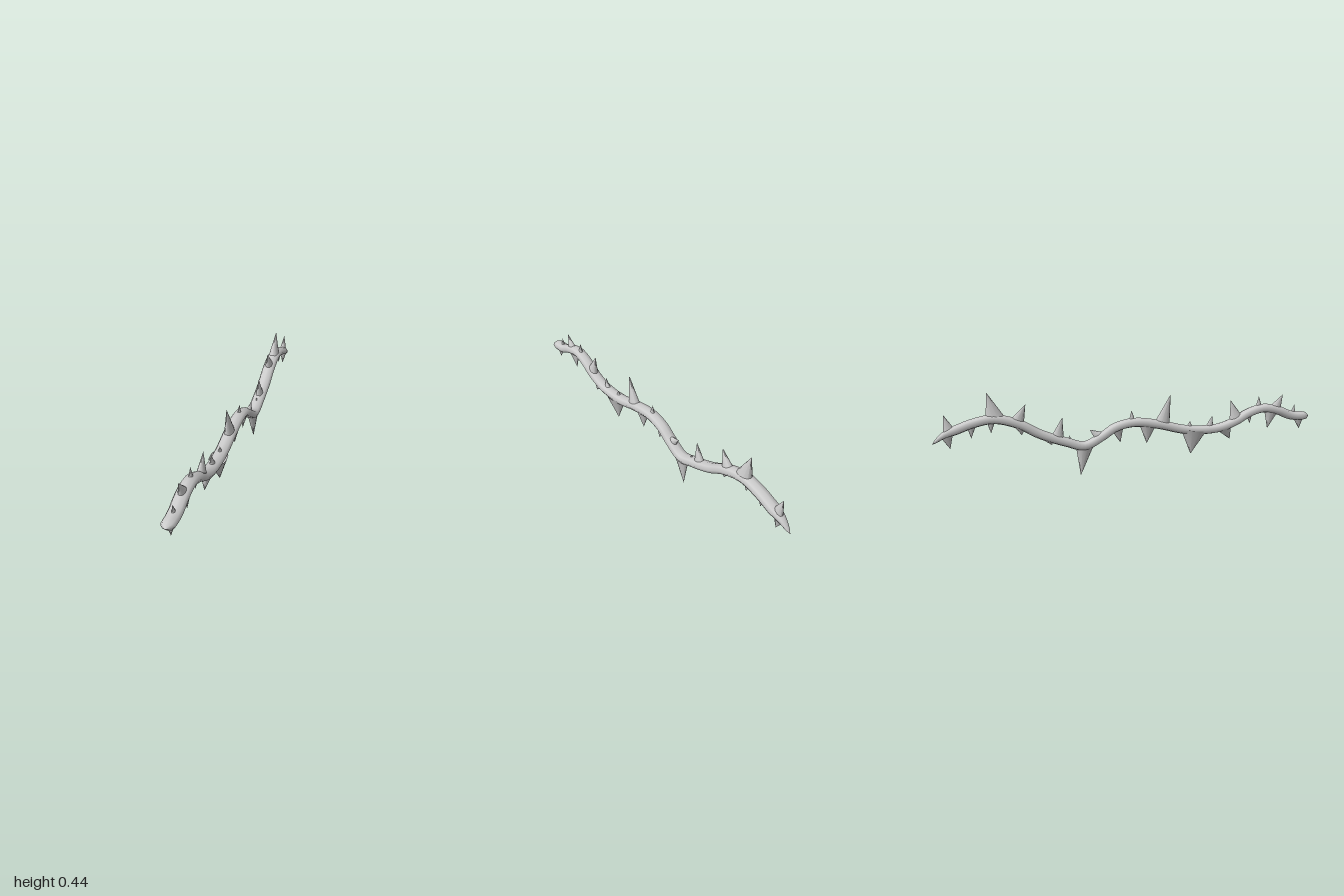
import * as THREE from 'three';

// Centreline of the stem as [z, y], from the blunt front end to the pointed back end
const PATH = [
  [0.995, 0.26], [0.89, 0.266], [0.81, 0.297], [0.72, 0.311], [0.635, 0.286], [0.57, 0.249],
  [0.48, 0.217], [0.38, 0.209], [0.276, 0.217], [0.142, 0.249], [0.008, 0.265], [-0.09, 0.243],
  [-0.153, 0.203], [-0.25, 0.156], [-0.34, 0.179], [-0.475, 0.227], [-0.58, 0.283], [-0.7, 0.313],
  [-0.8, 0.297], [-0.877, 0.27], [-0.94, 0.245], [-1, 0.2],
];

// Thorns as [base z, tip z, tip y, base radius]
const UPPER = [
  [0.9, 0.909, 0.323, 0.02], [0.795, 0.839, 0.382, 0.035], [0.7, 0.7, 0.377, 0.022],
  [0.575, 0.539, 0.361, 0.042], [0.42, 0.437, 0.281, 0.027], [0.31, 0.314, 0.259, 0.024],
  [0.16, 0.206, 0.404, 0.043], [0, -0.003, 0.329, 0.02], [-0.165, -0.222, 0.238, 0.034],
  [-0.33, -0.325, 0.213, 0.016], [-0.39, -0.362, 0.307, 0.036], [-0.59, -0.544, 0.382, 0.038],
  [-0.695, -0.732, 0.446, 0.048], [-0.915, -0.941, 0.345, 0.032],
];
const LOWER = [
  [0.935, 0.941, 0.19, 0.034], [0.775, 0.753, 0.2, 0.045], [0.645, 0.651, 0.233, 0.022],
  [0.505, 0.539, 0.152, 0.045], [0.335, 0.319, 0.083, 0.072], [0.085, 0.078, 0.152, 0.05],
  [-0.08, -0.062, 0.163, 0.036], [-0.25, -0.271, 0.001, 0.046], [-0.43, -0.416, 0.168, 0.034],
  [-0.57, -0.566, 0.227, 0.036], [-0.715, -0.716, 0.243, 0.024], [-0.81, -0.812, 0.222, 0.026],
  [-0.93, -0.914, 0.174, 0.034],
];

const HALF_WIDTH = 0.035, HALF_HEIGHT = 0.024, SIDES = 8, RINGS = 110;

// Sweep an eight-sided oval along the curve, rounding the front and tapering the back
function stemGeometry(curve) {
  const positions = [], indices = [];
  for (let i = 0; i <= RINGS; i++) {
    const t = i / RINGS;
    const p = curve.getPointAt(t), d = curve.getTangentAt(t);
    const front = Math.sqrt(1 - Math.pow(1 - Math.min(1, t / 0.022), 2));
    const back = Math.pow(Math.min(1, (1 - t) / 0.06), 0.65);
    const k = Math.max(0.001, front * back);
    for (let j = 0; j < SIDES; j++) {
      const a = (j / SIDES) * Math.PI * 2;
      const x = Math.cos(a) * HALF_WIDTH * k, h = Math.sin(a) * HALF_HEIGHT * k;
      positions.push(x, p.y - d.z * h, p.z + d.y * h);
      if (i < RINGS) {
        const n = (j + 1) % SIDES, r = i * SIDES, s = r + SIDES;
        indices.push(r + j, s + j, r + n, r + n, s + j, s + n);
      }
    }
  }
  const geometry = new THREE.BufferGeometry();
  geometry.setAttribute('position', new THREE.Float32BufferAttribute(positions, 3));
  geometry.setIndex(indices);
  geometry.computeVertexNormals();
  return geometry;
}

export function createModel() {
  const group = new THREE.Group();
  group.name = 'thornyVine';
  const material = new THREE.MeshStandardMaterial({ color: 0xcccccc, side: THREE.DoubleSide });
  const curve = new THREE.CatmullRomCurve3(PATH.map(([z, y]) => new THREE.Vector3(0, y, z)));

  const stem = new THREE.Mesh(stemGeometry(curve), material);
  stem.name = 'stem';
  group.add(stem);

  // Height of the centreline at a given z
  const samples = curve.getSpacedPoints(400);
  const heightAt = (z) => samples.find((p) => p.z <= z).y;

  // Narrow cones rooted on the centreline, thinner across the stem than along it
  const up = new THREE.Vector3(0, 1, 0);
  function addThorns(list, name) {
    const thorns = new THREE.Group();
    thorns.name = name;
    for (const [z, tipZ, tipY, radius] of list) {
      const base = new THREE.Vector3(0, heightAt(z), z);
      const axis = new THREE.Vector3(0, tipY, tipZ).sub(base);
      const length = axis.length();
      const geometry = new THREE.ConeGeometry(radius, length, 10, 1, true);
      geometry.translate(0, length / 2, 0).scale(0.62, 1, 1);
      const thorn = new THREE.Mesh(geometry, material);
      thorn.name = 'thorn';
      thorn.position.copy(base);
      // Tilt only about x so the flattened side keeps facing sideways
      thorn.rotation.x = Math.atan2(axis.z, axis.y);
      thorns.add(thorn);
    }
    group.add(thorns);
  }
  addThorns(UPPER, 'upperThorns');
  addThorns(LOWER, 'lowerThorns');
  return group;
}
